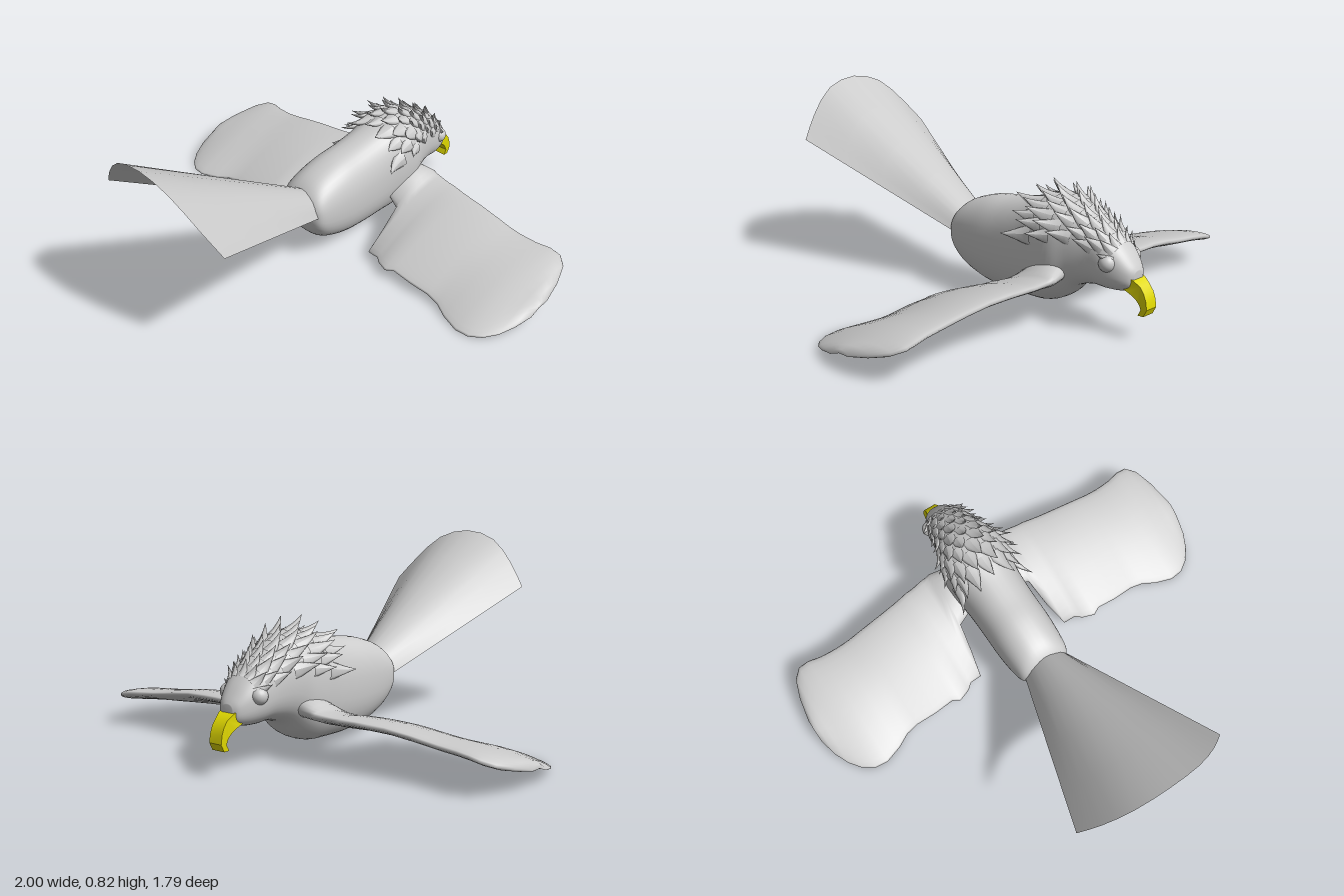
import * as THREE from 'three';
import { mergeGeometries, toCreasedNormals } from 'three/addons/utils/BufferGeometryUtils.js';

const grey = new THREE.MeshStandardMaterial({ color: 0xcccccc });
const greyThin = new THREE.MeshStandardMaterial({ color: 0xcccccc, side: THREE.DoubleSide });
const yellow = new THREE.MeshStandardMaterial({ color: 0xe0d800 });
const V = (x, y, z) => new THREE.Vector3(x, y, z);

// Body stations from rump to face: z, bottom, top, half width
const BODY = [
  [0.115, 0.23, 0.31, 0.07], [0.09, 0.165, 0.36, 0.115], [0.03, 0.105, 0.405, 0.13],
  [-0.08, 0.065, 0.44, 0.138], [-0.2, 0.052, 0.457, 0.138], [-0.32, 0.055, 0.48, 0.142],
  [-0.42, 0.065, 0.51, 0.155], [-0.5, 0.1, 0.515, 0.155], [-0.57, 0.165, 0.495, 0.132],
  [-0.65, 0.19, 0.455, 0.108], [-0.72, 0.19, 0.415, 0.098], [-0.78, 0.195, 0.36, 0.076],
  [-0.82, 0.21, 0.31, 0.05], [-0.835, 0.235, 0.285, 0.025],
];

// Wing stations outwards: x, leading z, trailing z, leading y, trailing y, half thickness
const WING = [
  [0.06, -0.54, -0.36, 0.23, 0.19, 0.06], [0.13, -0.57, -0.34, 0.23, 0.18, 0.055],
  [0.19, -0.585, -0.32, 0.225, 0.155, 0.045], [0.21, -0.582, -0.2, 0.222, 0.09, 0.04],
  [0.235, -0.58, -0.09, 0.22, 0.055, 0.037], [0.29, -0.572, -0.088, 0.215, 0.055, 0.035],
  [0.32, -0.57, -0.062, 0.215, 0.06, 0.035], [0.375, -0.56, -0.042, 0.212, 0.06, 0.035],
  [0.41, -0.555, -0.06, 0.21, 0.065, 0.035], [0.5, -0.545, -0.055, 0.205, 0.058, 0.035],
  [0.6, -0.537, -0.06, 0.192, 0.047, 0.035], [0.66, -0.533, -0.05, 0.182, 0.038, 0.035],
  [0.72, -0.533, -0.02, 0.174, 0.028, 0.035], [0.8, -0.54, 0.005, 0.168, 0.022, 0.035],
  [0.86, -0.555, -0.002, 0.165, 0.02, 0.034], [0.91, -0.555, -0.035, 0.155, 0.024, 0.032],
  [0.95, -0.52, -0.085, 0.138, 0.034, 0.029], [0.98, -0.44, -0.15, 0.115, 0.05, 0.023],
  [1, -0.34, -0.23, 0.09, 0.066, 0.01],
];

// Skin closed rings of points into a capped surface
function loft(rings) {
  const n = rings[0].length, last = rings.length - 1, pts = rings.flat(), index = [];
  const centre = ring => ring.reduce((s, p) => s.add(p), V(0, 0, 0)).divideScalar(n);
  const a0 = pts.push(centre(rings[0])) - 1, a1 = pts.push(centre(rings[last])) - 1;
  for (let j = 0; j < n; j++) {
    const k = (j + 1) % n;
    for (let i = 0; i < last; i++) {
      const a = i * n + j, b = i * n + k;
      index.push(a, b, a + n, b, b + n, a + n);
    }
    index.push(a0, k, j, a1, last * n + j, last * n + k);
  }
  const g = new THREE.BufferGeometry().setFromPoints(pts);
  g.setIndex(index);
  g.computeVertexNormals();
  return g;
}

// Smooth interpolation along a table of stations
function sample(table, t) {
  const f = t * (table.length - 1), i = Math.min(Math.floor(f), table.length - 2), u = f - i;
  const row = k => table[Math.max(0, Math.min(table.length - 1, k))];
  return row(i).map((b, c) => {
    const a = row(i - 1)[c], d = row(i + 1)[c], e = row(i + 2)[c];
    return b + 0.5 * u * (d - a + u * (2 * a - 5 * b + 4 * d - e + u * (3 * (b - d) + e - a)));
  });
}

// Point on the body skin; angle 0 is the top
function bodyPoint(t, angle) {
  const [z, lo, hi, w] = sample(BODY, t);
  const s = Math.sin(angle), c = Math.cos(angle), soft = v => Math.sign(v) * Math.abs(v) ** 0.85;
  return V(w * soft(s), (lo + hi) / 2 + (hi - lo) / 2 * soft(c), z);
}

function bodyGeometry() {
  const rings = [];
  for (let i = 0; i <= 60; i++) {
    rings.push(Array.from({ length: 40 }, (_, j) => bodyPoint(i / 60, j / 40 * Math.PI * 2)));
  }
  return loft(rings);
}

function wingGeometry(side) {
  const rings = WING.map(([x, zl, zt, yl, yt, h]) => {
    const ring = Array.from({ length: 28 }, (_, j) => {
      const a = j / 28 * Math.PI * 2, u = (1 - Math.cos(a)) / 2;
      const y = yl + (yt - yl) * u + 0.015 * Math.sin(Math.PI * u);
      return V(side * x, y + Math.sin(a) * h * (1 - 0.5 * u), zl + (zt - zl) * u);
    });
    return side > 0 ? ring : ring.reverse();
  });
  return loft(rings);
}

// Arched open fan
function tailGeometry() {
  const tip = new THREE.CatmullRomCurve3([
    V(-0.35, 0.59, 0.81), V(-0.27, 0.69, 0.85), V(-0.15, 0.8, 0.885), V(0, 0.838, 0.895),
    V(0.15, 0.8, 0.885), V(0.27, 0.69, 0.85), V(0.35, 0.59, 0.81)]);
  const root = new THREE.CatmullRomCurve3([
    V(-0.1, 0.255, 0.07), V(-0.07, 0.32, 0.07), V(0, 0.355, 0.07),
    V(0.07, 0.32, 0.07), V(0.1, 0.255, 0.07)]);
  const g = new THREE.PlaneGeometry(1, 1, 12, 4), p = g.attributes.position;
  for (let i = 0; i < p.count; i++) {
    const u = p.getX(i) + 0.5, v = 0.5 - p.getY(i);
    const q = root.getPoint(u).lerp(tip.getPoint(u), v);
    p.setXYZ(i, q.x, q.y, q.z);
  }
  g.computeVertexNormals();
  return g;
}

// One curled, flattened feather rooted on the skin
function feather(t, angle, length) {
  const g = new THREE.ConeGeometry(length * 0.36, length, 8, 5, true);
  g.translate(0, length / 2, 0);
  const p = g.attributes.position;
  for (let i = 0; i < p.count; i++) {
    const s = p.getY(i) / length;
    p.setZ(i, p.getZ(i) * 0.5 + length * (0.3 * s * s - 0.12));
  }
  const root = bodyPoint(t, angle);
  const out = V(Math.sin(angle), Math.cos(angle), 0);
  const along = bodyPoint(t - 0.03, angle).sub(root).normalize().addScaledVector(out, 0.25).normalize();
  const across = along.clone().cross(out).normalize();
  const normal = across.clone().cross(along);
  g.applyMatrix4(new THREE.Matrix4().makeBasis(across, along, normal).setPosition(root));
  g.computeVertexNormals();
  return g;
}

function ruffGeometry() {
  const list = [];
  for (let row = 0; row < 9; row++) {
    const t = 0.82 - row * 0.046, length = 0.07 + row * 0.0065;
    const count = row % 2 ? 6 : 7;
    for (let k = 0; k < count; k++) {
      const angle = (k - (count - 1) / 2) * 0.42;
      list.push(feather(t, angle, length * (1 + 0.12 * Math.sin(row * 5 + k * 3))));
    }
  }
  return mergeGeometries(list);
}

// Hooked profile, narrowing towards the tip
function beakGeometry() {
  const s = new THREE.Shape();
  s.moveTo(0.79, 0.215);
  s.lineTo(0.81, 0.265);
  s.quadraticCurveTo(0.895, 0.24, 0.9, 0.15);
  s.lineTo(0.885, 0.12);
  s.lineTo(0.86, 0.12);
  s.lineTo(0.872, 0.145);
  s.quadraticCurveTo(0.855, 0.195, 0.79, 0.215);
  const g = new THREE.ExtrudeGeometry(s, { depth: 1, bevelEnabled: false, curveSegments: 5 });
  g.translate(0, 0, -0.5);
  g.rotateY(Math.PI / 2);
  const p = g.attributes.position;
  for (let i = 0; i < p.count; i++) {
    const k = Math.min(1, Math.max(0, (-p.getZ(i) - 0.81) / 0.055));
    p.setX(i, p.getX(i) * (0.088 - 0.028 * k));
  }
  return toCreasedNormals(g, 0.5);
}

export function createModel() {
  const bird = new THREE.Group();
  bird.name = 'bird';
  const add = (name, geometry, material = grey) => {
    const mesh = new THREE.Mesh(geometry, material);
    mesh.name = name;
    bird.add(mesh);
    return mesh;
  };
  add('body', bodyGeometry());
  add('tail', tailGeometry(), greyThin);
  add('neckFeathers', ruffGeometry(), greyThin);
  add('beak', beakGeometry(), yellow);
  for (const [side, label] of [[1, 'left'], [-1, 'right']]) {
    add(label + 'Wing', wingGeometry(side));
    add(label + 'Eye', new THREE.SphereGeometry(0.034, 20, 14)).position.set(side * 0.077, 0.31, -0.742);
  }
  return bird;
}
